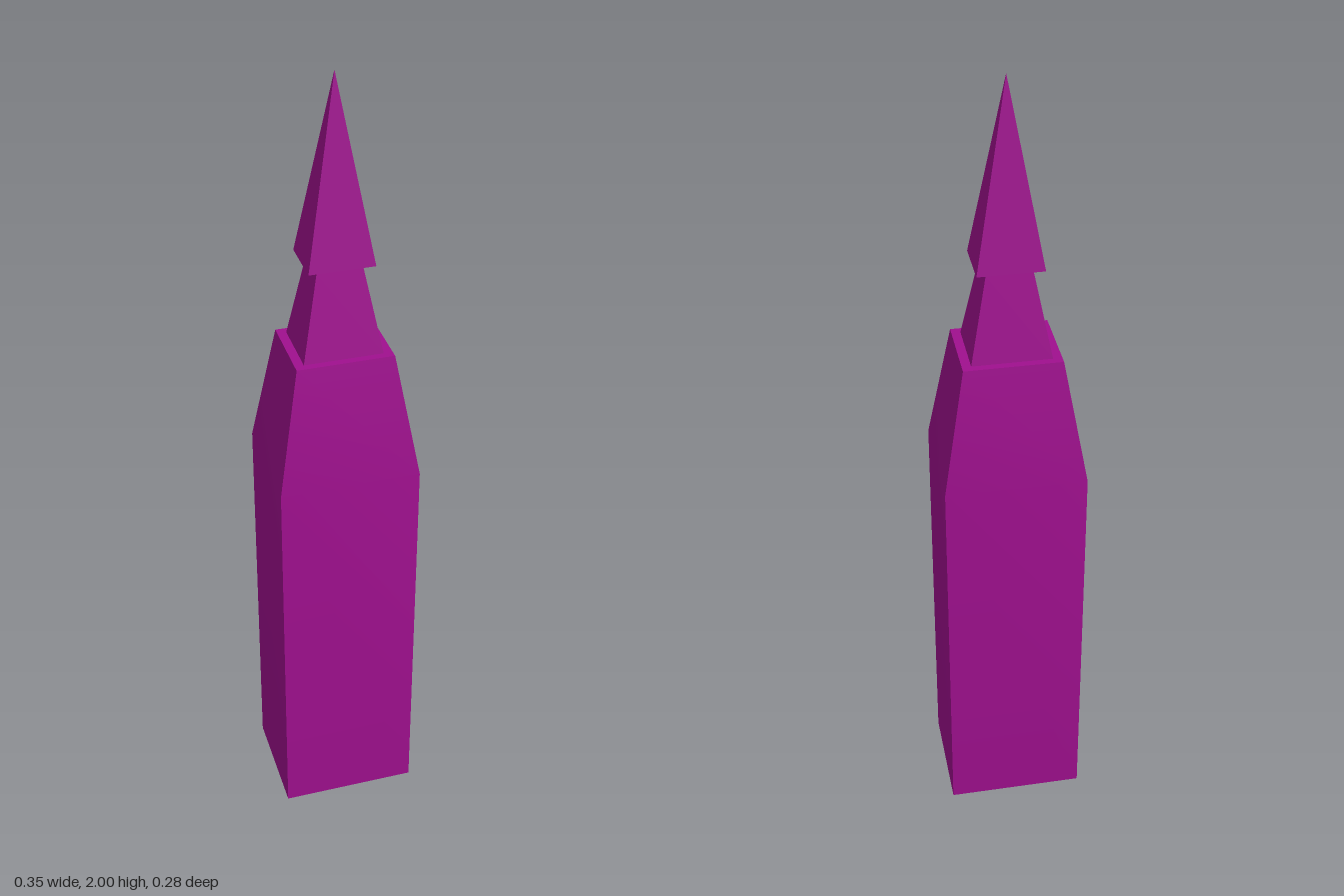
import * as THREE from 'three';
import { toCreasedNormals } from 'three/addons/utils/BufferGeometryUtils.js';

const DEPTH = 0.82; // depth of every rectangular section relative to its width

export function createModel() {
  const group = new THREE.Group();
  group.name = 'tower';
  const material = new THREE.MeshStandardMaterial({ color: 0xa0108f });

  // Rectangular tier from [half width, height] pairs, listed from bottom to top
  function addTier(name, profile) {
    const points = profile.map(([w, y]) => new THREE.Vector2(w * Math.SQRT2, y));
    const geometry = new THREE.LatheGeometry(points, 4, Math.PI / 4);
    geometry.scale(1, 1, DEPTH);
    const mesh = new THREE.Mesh(toCreasedNormals(geometry, Math.PI / 9), material);
    mesh.name = name;
    group.add(mesh);
  }

  // Straight shaft with tapered shoulders and a flat ledge
  addTier('shaft', [[0, 0], [0.173, 0], [0.173, 1.02], [0.118, 1.335], [0, 1.335]]);
  // Tapered neck standing on the ledge
  addTier('neck', [[0.096, 1.335], [0.055, 1.547]]);
  // Pointed spire with a slightly sloped overhang
  addTier('spire', [[0.055, 1.547], [0.079, 1.557], [0, 2]]);

  return group;
}
